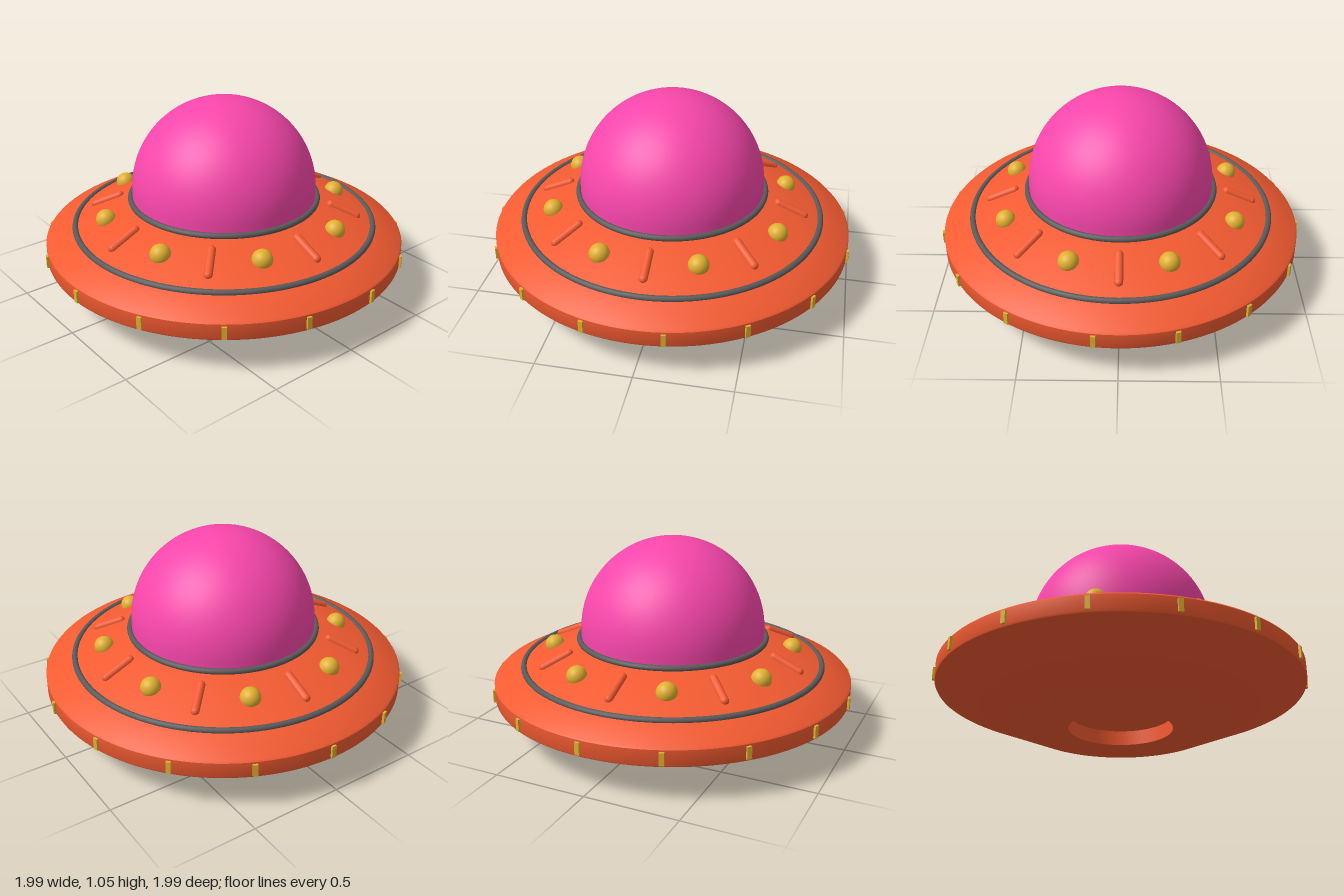
import * as THREE from 'three';
import { toCreasedNormals } from 'three/addons/utils/BufferGeometryUtils.js';

const paint = (color) => new THREE.MeshStandardMaterial({ color });

export function createModel() {
  const orange = paint(0xf45b31);
  const pink = paint(0xf946ab);
  const gold = paint(0xe0b030);
  const grey = paint(0x5a5a5a);

  const model = new THREE.Group();
  model.name = 'flyingSaucer';

  const add = (parent, name, geometry, material, x = 0, y = 0, z = 0) => {
    const mesh = new THREE.Mesh(geometry, material);
    mesh.name = name;
    mesh.position.set(x, y, z);
    parent.add(mesh);
    return mesh;
  };
  const lathe = (points) =>
    new THREE.LatheGeometry(points.map(([r, y]) => new THREE.Vector2(r, y)), 128);

  // Group turned about the vertical axis, so its parts sit along a radius
  const spoke = (name, degrees) => {
    const group = new THREE.Group();
    group.name = name;
    group.rotation.y = -THREE.MathUtils.degToRad(degrees);
    model.add(group);
    return group;
  };

  // Hull: recessed belly, sloped underside, upright rim, sloped deck
  const hull = lathe([
    [0, 0.08], [0.276, 0.08], [0.276, 0], [0.515, 0], [0.81, 0.125],
    [0.983, 0.198], [0.987, 0.206], [0.987, 0.285], [0.978, 0.295],
    [0.83, 0.355], [0.52, 0.49], [0, 0.49],
  ]);
  add(model, 'hull', toCreasedNormals(hull, 0.7), orange);

  // Dome: hemisphere on a short straight skirt
  const dome = [[0.505, 0.48]];
  for (let i = 0; i <= 32; i++) {
    const a = (i / 32) * Math.PI / 2;
    dome.push([0.505 * Math.cos(a), 0.545 + 0.505 * Math.sin(a)]);
  }
  add(model, 'dome', lathe(dome), pink);

  // Grey trim rings
  const ring = (name, radius, y) => {
    const geometry = new THREE.TorusGeometry(radius, 0.016, 12, 128).rotateX(Math.PI / 2);
    add(model, name, geometry, grey, 0, y, 0);
  };
  ring('domeRing', 0.515, 0.497);
  ring('deckRing', 0.825, 0.357);

  // Deck: raised bars alternating with round lamps
  const slope = Math.atan2(0.135, 0.31);
  const bar = new THREE.CapsuleGeometry(0.0225, 0.155, 8, 16).rotateZ(Math.PI / 2 - slope);
  const lamp = new THREE.SphereGeometry(0.054, 32, 20);
  for (let i = 0; i < 8; i++) {
    add(spoke('deckBarMount', i * 45), 'deckBar', bar, orange, 0.662, 0.43, 0);
    add(spoke('deckLampMount', i * 45 + 22.5), 'deckLamp', lamp, gold, 0.662, 0.431, 0);
  }

  // Small upright lights around the rim
  const rimLight = new THREE.BoxGeometry(0.03, 0.066, 0.025);
  for (let i = 0; i < 15; i++) {
    add(spoke('rimLightMount', 33.7 + i * 23.8), 'rimLight', rimLight, gold, 0.984, 0.243, 0);
  }

  return model;
}
